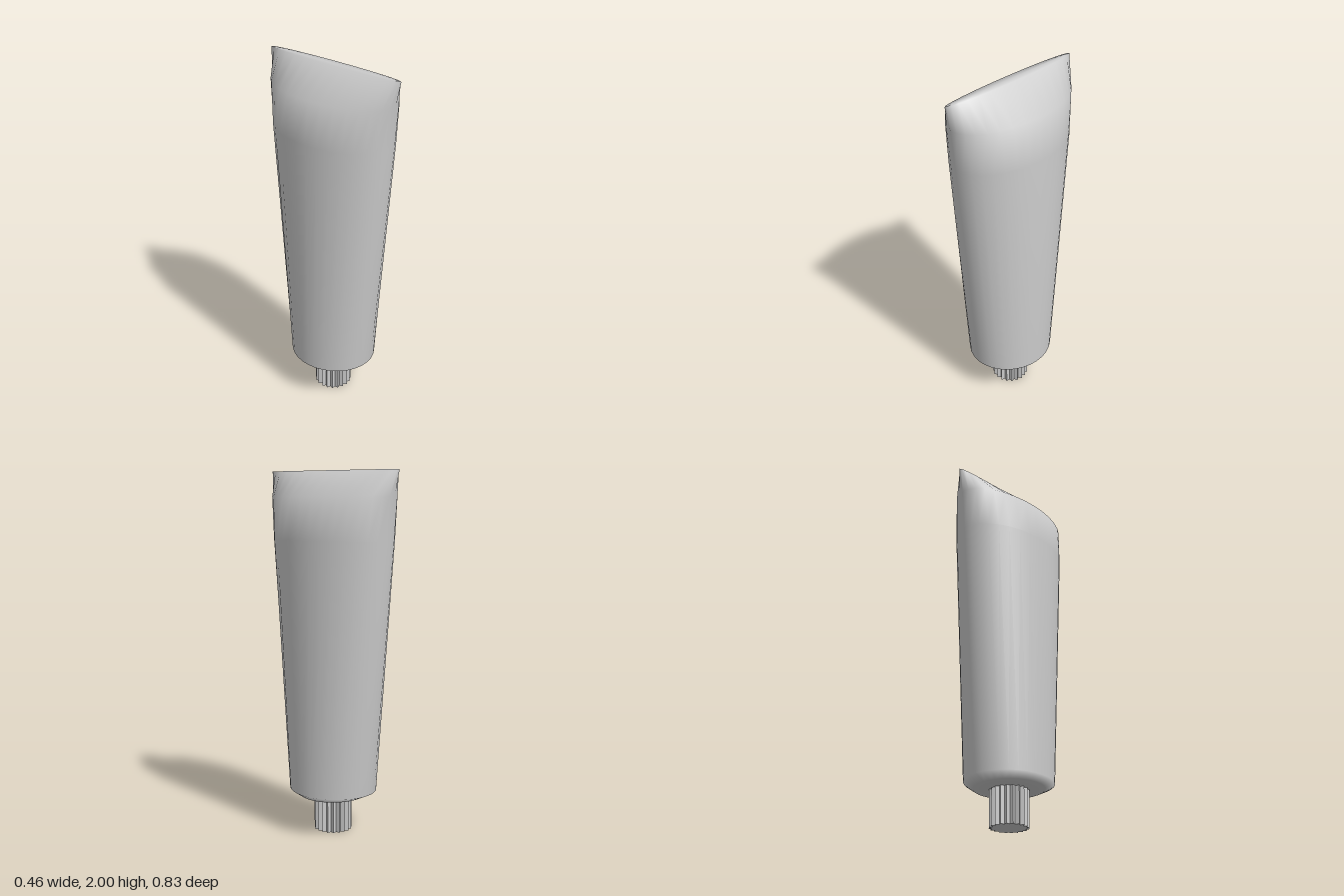
import * as THREE from 'three';
import { mergeVertices } from 'three/addons/utils/BufferGeometryUtils.js';

const material = new THREE.MeshStandardMaterial({ color: 0xcccccc });

// Smooth loft through elliptical sections [y, half width x, half depth z], listed top to bottom
function loft(sections, sides) {
  const geometry = new THREE.CylinderGeometry(1, 1, 1, sides, sections.length - 1, true);
  const pos = geometry.attributes.position;
  for (let i = 0; i < pos.count; i++) {
    const [y, rx, rz] = sections[Math.floor(i / (sides + 1))];
    pos.setXYZ(i, pos.getX(i) * rx, y, pos.getZ(i) * rz);
  }
  geometry.deleteAttribute('normal');
  geometry.deleteAttribute('uv');
  const merged = mergeVertices(geometry, 1e-5);
  merged.computeVertexNormals();
  return merged;
}

// Ribbed neck: an extruded star outline
function ribbedNeck(teeth, outer, inner, height) {
  const points = [];
  for (let i = 0; i < teeth * 2; i++) {
    const a = (i / (teeth * 2)) * Math.PI * 2;
    const r = i % 2 ? inner : outer;
    points.push(new THREE.Vector2(Math.cos(a) * r, Math.sin(a) * r));
  }
  const geometry = new THREE.ExtrudeGeometry(new THREE.Shape(points), { depth: height, bevelEnabled: false });
  return geometry.rotateX(-Math.PI / 2);
}

export function createModel() {
  const group = new THREE.Group();

  // Tube body: round shoulder, widening oval, pinched flat at the top
  const body = new THREE.Mesh(loft([
    [2.0, 0, 0.4],
    [2.0, 0.032, 0.415],
    [1.86, 0.2, 0.387],
    [1.63, 0.23, 0.366],
    [0.235, 0.23, 0.25],
    [0.205, 0.19, 0.187],
    [0.2, 0.12, 0.12],
    [0.2, 0, 0],
  ], 32), material);
  body.name = 'tubeBody';
  group.add(body);

  // Neck below the shoulder
  const neck = new THREE.Mesh(ribbedNeck(20, 0.105, 0.088, 0.21), material);
  neck.name = 'ribbedNeck';
  group.add(neck);

  return group;
}
